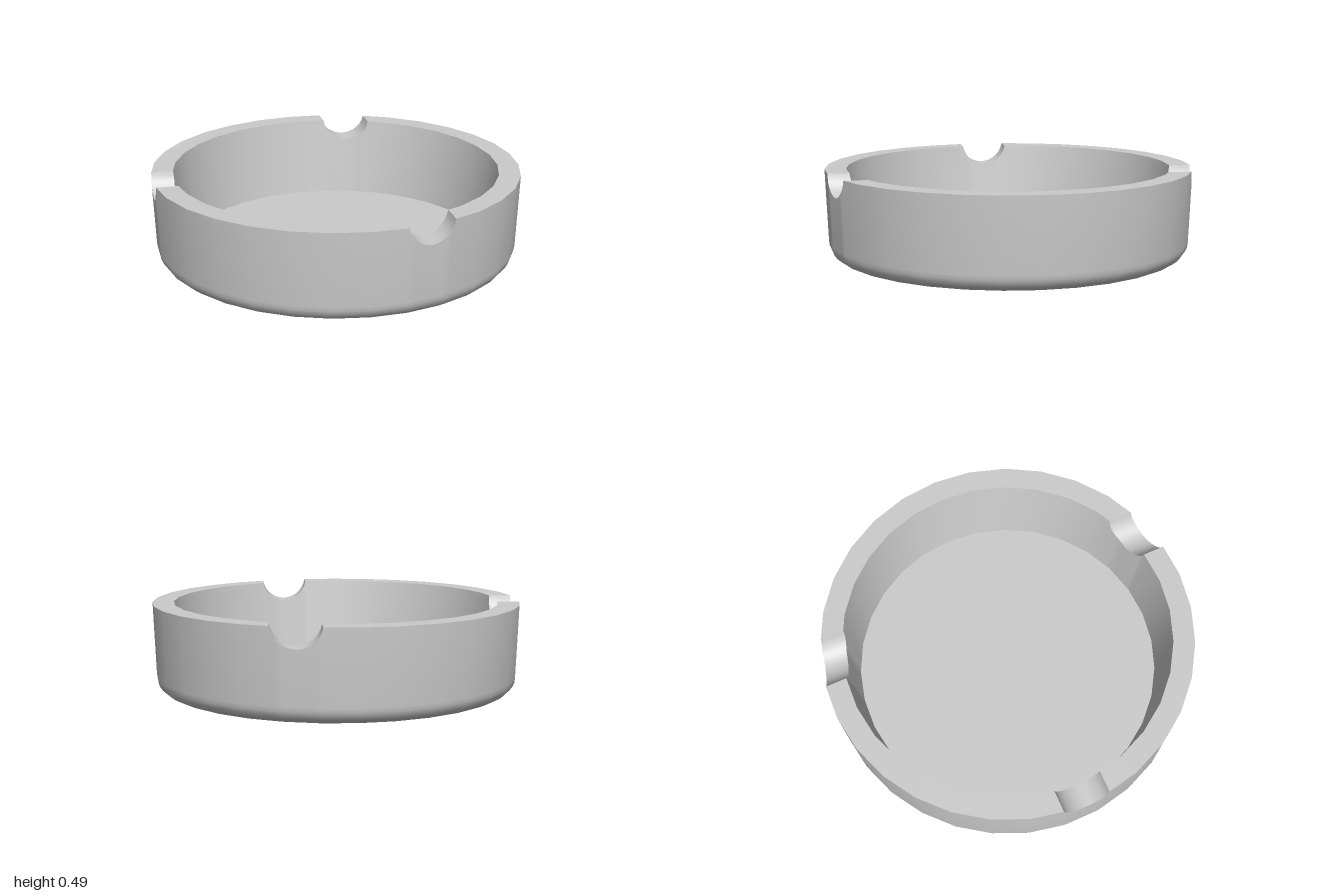
import * as THREE from 'three';
import { toCreasedNormals } from 'three/addons/utils/BufferGeometryUtils.js';

const SIDES = 31, STEP = (2 * Math.PI) / SIDES;
const TOP = 0.485, FLOOR = 0.05, FILLET = 0.09, SHIFT = -0.0026;
const NOTCH_R = 0.13, NOTCH_Y = 0.505, NOTCH_STEPS = 14;

// Outer and inner wall radius at height y (both taper slightly)
const outerR = (y) => THREE.MathUtils.mapLinear(y, FILLET, TOP, 0.986, 1.0013);
const innerR = (y) => THREE.MathUtils.mapLinear(y, FLOOR, TOP, 0.83, 0.885);

// Radius of the many-sided outline in direction t
function polygonR(r, t) {
  const local = THREE.MathUtils.euclideanModulo(t, STEP) - STEP / 2;
  return (r * Math.cos(STEP / 2)) / Math.cos(local);
}

function point(r, t, y) {
  const p = polygonR(r, t);
  return new THREE.Vector3(p * Math.cos(t) + SHIFT, y, p * Math.sin(t));
}

// Direction at which the outline lies u sideways of the axis phi
function angleAt(r, phi, u) {
  let t = phi + Math.asin(u / r);
  for (let i = 0; i < 8; i++) t = phi + Math.asin(u / polygonR(r, t));
  return t;
}

// Columns around the wall: plain corners, plus samples along each round notch
function makeColumns() {
  const notches = [
    { phi: Math.PI / 2, offset: -0.258 },
    { phi: Math.PI, offset: 0 },
    { phi: 1.5 * Math.PI, offset: 0.258 },
  ];
  const sweep = Math.acos((NOTCH_Y - TOP) / NOTCH_R);
  const columns = [], gaps = [];
  for (const { phi, offset } of notches) {
    const cut = [];
    for (let i = 0; i <= NOTCH_STEPS; i++) {
      const a = sweep * ((2 * i) / NOTCH_STEPS - 1);
      const y = NOTCH_Y - NOTCH_R * Math.cos(a), u = offset + NOTCH_R * Math.sin(a);
      cut.push({ outer: angleAt(outerR(y), phi, u), inner: angleAt(innerR(y), phi, u), y });
    }
    gaps.push([cut[0].outer, cut[NOTCH_STEPS].outer]);
    columns.push(...cut);
  }
  for (let i = 0; i < SIDES; i++) {
    const t = i * STEP;
    if (!gaps.some(([a, b]) => t > a && t < b)) columns.push({ outer: t, inner: t, y: TOP });
  }
  return columns.sort((a, b) => a.outer - b.outer);
}

// Closed surface through columns of points, smooth except at sharp edges
function skin(name, columns, material) {
  const pos = [];
  const tri = (a, b, c) => {
    if (a.equals(b) || b.equals(c) || c.equals(a)) return;
    for (const p of [a, b, c]) pos.push(p.x, p.y, p.z);
  };
  columns.forEach((col, i) => {
    const next = columns[(i + 1) % columns.length];
    for (let j = 0; j < col.length - 1; j++) {
      tri(col[j], col[j + 1], next[j]);
      tri(next[j], col[j + 1], next[j + 1]);
    }
  });
  const geometry = new THREE.BufferGeometry();
  geometry.setAttribute('position', new THREE.Float32BufferAttribute(pos, 3));
  const mesh = new THREE.Mesh(toCreasedNormals(geometry, Math.PI / 6), material);
  mesh.name = name;
  return mesh;
}

export function createModel() {
  const group = new THREE.Group();
  group.name = 'ashtray';
  const material = new THREE.MeshStandardMaterial({ color: 0xcccccc });
  const columns = makeColumns();

  // Flat base, rounded lower edge and outer wall
  const outside = columns.map(({ outer, y }) => {
    const col = [new THREE.Vector3(SHIFT, 0, 0)];
    for (let i = 0; i <= 6; i++) {
      const a = (i / 6) * (Math.PI / 2);
      col.push(point(0.896 + 0.09 * Math.sin(a), outer, FILLET * (1 - Math.cos(a))));
    }
    col.push(point(outerR(y), outer, y));
    return col;
  });

  // Top of the wall, dipping through the notches
  const rim = columns.map(({ outer, inner, y }) => [
    point(outerR(y), outer, y),
    point(innerR(y), inner, y),
  ]);

  // Inner wall and floor
  const inside = columns.map(({ inner, y }) => [
    point(innerR(y), inner, y),
    point(innerR(FLOOR), inner, FLOOR),
    new THREE.Vector3(SHIFT, FLOOR, 0),
  ]);

  group.add(
    skin('outerShell', outside, material),
    skin('notchedRim', rim, material),
    skin('innerBowl', inside, material),
  );
  return group;
}
